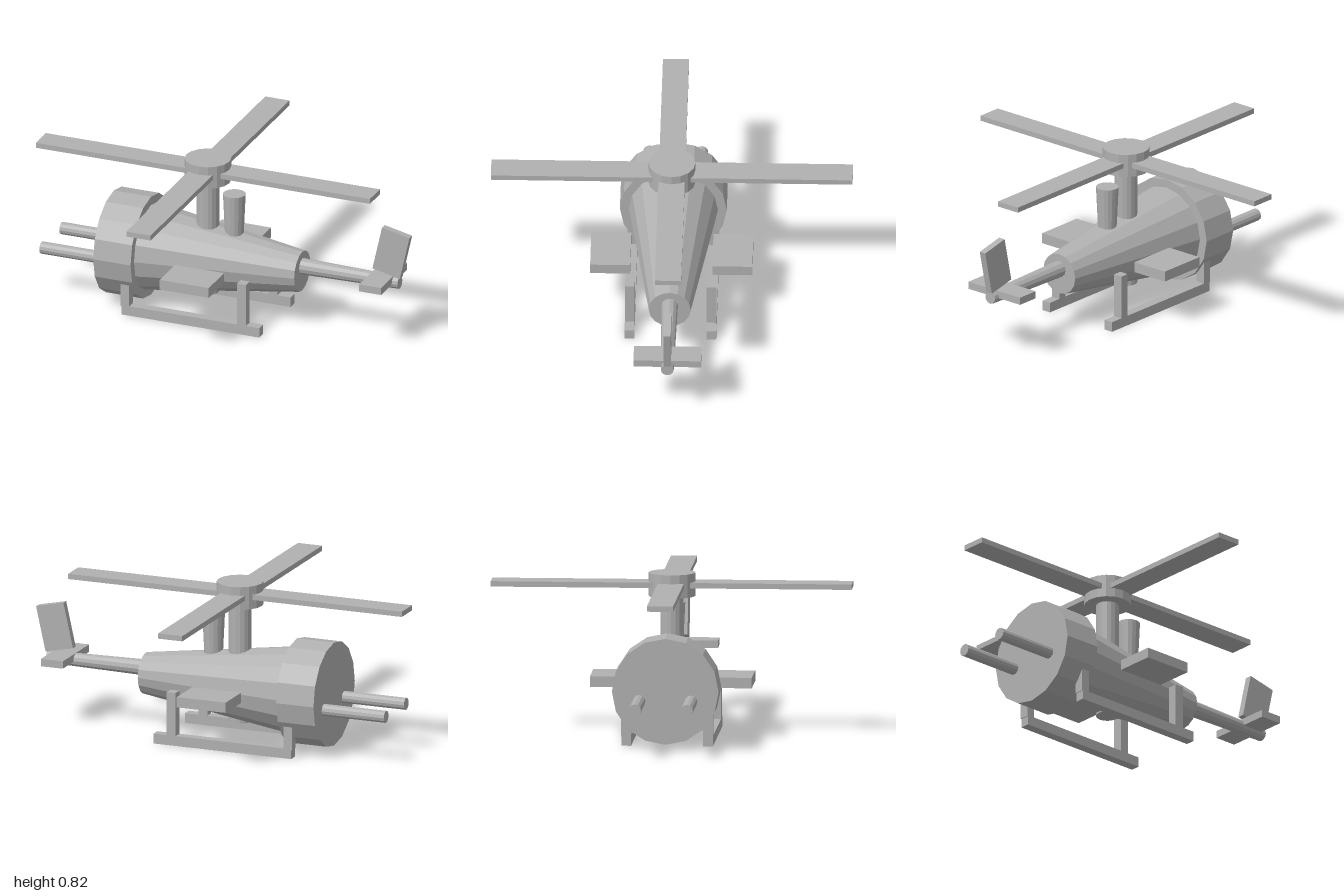
import * as THREE from 'three';

export function createModel() {
  const model = new THREE.Group();
  const grey = new THREE.MeshStandardMaterial({ color: 0xb0b0b0, flatShading: true });
  grey.name = 'grey';

  const add = (name, geometry, x, y, z) => {
    const mesh = new THREE.Mesh(geometry, grey);
    mesh.name = name;
    mesh.position.set(x, y, z);
    model.add(mesh);
    return mesh;
  };
  // Box given by its extents on each axis
  const box = (name, x0, x1, y0, y1, z0, z1) =>
    add(name, new THREE.BoxGeometry(x1 - x0, y1 - y0, z1 - z0),
      (x0 + x1) / 2, (y0 + y1) / 2, (z0 + z1) / 2);
  // Round part lying along x, with a radius at each end
  const roundX = (name, x0, x1, r0, r1, y, z, sides) =>
    add(name, new THREE.CylinderGeometry(r0, r1, x1 - x0, sides).rotateZ(Math.PI / 2),
      (x0 + x1) / 2, y, z);
  // Upright round part
  const roundY = (name, x, y0, y1, rBottom, rTop, sides) =>
    add(name, new THREE.CylinderGeometry(rTop, rBottom, y1 - y0, sides), x, (y0 + y1) / 2, 0);

  // Fuselage, nose at -x
  roundX('nose', -0.607, -0.405, 0.267, 0.267, 0.297, 0, 16);
  roundX('body', -0.41, 0.412, 0.223, 0.105, 0.297, 0, 16);
  roundX('tailBoom', 0.38, 0.94, 0.042, 0.032, 0.324, 0, 12);

  // Tail
  box('tailPlane', 0.79, 0.909, 0.32, 0.358, -0.17, 0.17);
  const fin = add('tailFin', new THREE.BoxGeometry(0.152, 0.236, 0.036), 0.899, 0.484, 0);
  fin.rotation.z = -0.22;

  // Rotor
  const rotorX = -0.098;
  roundY('mast', rotorX, 0.104, 0.72, 0.057, 0.057, 16);
  roundY('rotorHub', rotorX, 0.71, 0.828, 0.117, 0.117, 16);
  for (let i = 0; i < 4; i++) {
    const blade = add('rotorBlade',
      new THREE.BoxGeometry(0.81, 0.027, 0.131).translate(0.498, 0, 0), rotorX, 0.77, 0);
    blade.rotation.y = i * Math.PI / 2;
  }
  roundY('exhaust', 0.045, 0.4, 0.657, 0.045, 0.057, 16);

  // Paired parts on both sides
  for (const side of [-1, 1]) {
    const pair = (name, x0, x1, y0, y1, zIn, zOut) =>
      box(name, x0, x1, y0, y1, Math.min(side * zIn, side * zOut), Math.max(side * zIn, side * zOut));
    roundX('gunBarrel', -0.943, -0.58, 0.031, 0.031, 0.249, side * 0.13, 12);
    pair('stubWing', -0.19, 0.075, 0.259, 0.312, 0.205, 0.405);
    pair('skidRail', -0.47, 0.275, 0.004, 0.055, 0.18, 0.229);
    pair('skidFrontLeg', -0.474, -0.428, 0.05, 0.17, 0.18, 0.229);
    pair('skidRearLeg', 0.155, 0.203, 0.05, 0.278, 0.18, 0.229);
  }
  return model;
}
